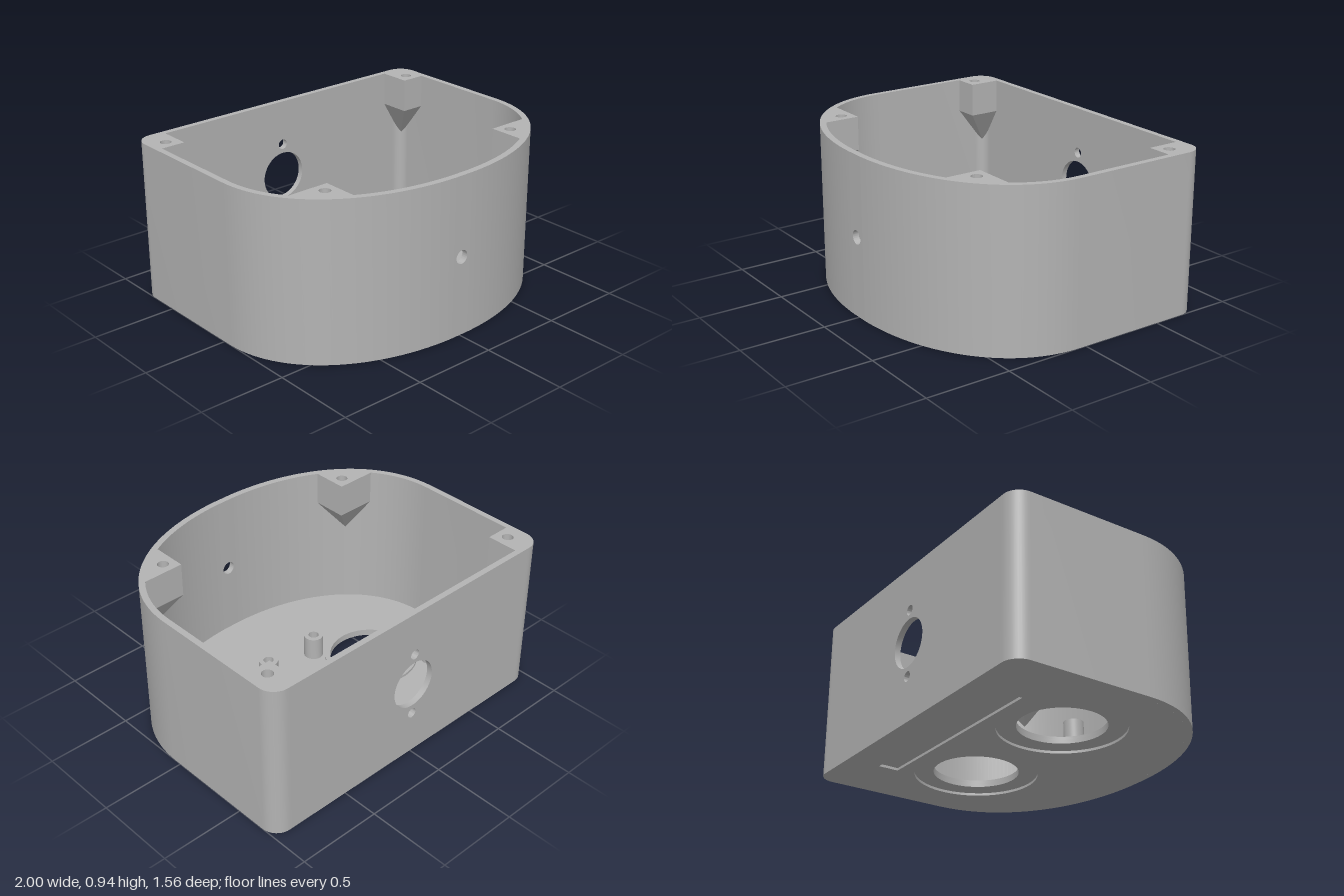
import * as THREE from 'three';
import { toCreasedNormals } from 'three/addons/utils/BufferGeometryUtils.js';

const H = 0.94, FLOOR = 0.04, RECESS = 0.015, HOLE_X = 0.415, HOLE_Z = -0.065;
const POWER = 2.13, CUT = 0.06, BACK_CUT = 0.88;
const OUTER = { a: 1, b: 0.742, r: 0.1, back: -0.782 };
const INNER = { a: 0.965, b: 0.705, r: 0.065, back: -0.747 };

// Depth of the bowed front at a given x
const frontZ = (o, x) => 0.04 + o.b * Math.pow(1 - Math.pow(Math.abs(x) / o.a, POWER), 1 / POWER);

// Half outline (+x) from the back edge, round the corner, to the bowed front at xEnd
function halfOutline(o, xStart, xEnd) {
  const pts = [[xStart, o.back]];
  for (let i = 0; i <= 10; i++) {
    const t = -Math.PI / 2 + (i / 10) * Math.PI / 2;
    pts.push([o.a - o.r + o.r * Math.cos(t), o.back + o.r + o.r * Math.sin(t)]);
  }
  const tEnd = Math.acos(Math.pow(xEnd / o.a, POWER / 2));
  for (let i = 0; i <= 48; i++) {
    const t = (i / 48) * tEnd;
    const x = i === 48 ? xEnd : o.a * Math.pow(Math.cos(t), 2 / POWER);
    pts.push([x, 0.04 + o.b * Math.pow(Math.sin(t), 2 / POWER)]);
  }
  return pts;
}

const mirror = (pts) => pts.map(([x, z]) => [-x, z]);
const circle = (x, y, r) => new THREE.Path().absarc(x, y, r, 0, Math.PI * 2, false);
const shapeOf = (pts) => new THREE.Shape(pts.map(([x, y]) => new THREE.Vector2(x, y)));

// Horizontal slab from x/z points between two heights; holes are [x, z, radius]
function slab(pts, y0, y1, holes = [], paths = []) {
  const shape = shapeOf(pts.map(([x, z]) => [x, -z]));
  holes.forEach(([x, z, r]) => shape.holes.push(circle(x, -z, r)));
  shape.holes.push(...paths);
  const g = new THREE.ExtrudeGeometry(shape, { depth: y1 - y0, bevelEnabled: false, curveSegments: 32 });
  g.rotateX(-Math.PI / 2).translate(0, y0, 0);
  return toCreasedNormals(g, 0.5);
}

// Upright panel facing z, between two depths
function panel(x, z0, z1, holes) {
  const shape = shapeOf([[-x, 0], [x, 0], [x, H], [-x, H]]);
  holes.forEach(([y, r]) => shape.holes.push(circle(0, y, r)));
  const g = new THREE.ExtrudeGeometry(shape, { depth: z1 - z0, bevelEnabled: false, curveSegments: 24 });
  return toCreasedNormals(g.translate(0, 0, z0), 0.5);
}

// Cone of flat faces from a level polygon down to one apex
function taper(pts, y, apex) {
  const pos = [];
  const area = pts.reduce((s, [x, z], i) => {
    const [u, v] = pts[(i + 1) % pts.length];
    return s + x * v - u * z;
  }, 0);
  const ring = area > 0 ? pts : [...pts].reverse();
  const [cx, cz] = ring.reduce((s, p) => [s[0] + p[0] / ring.length, s[1] + p[1] / ring.length], [0, 0]);
  ring.forEach(([x, z], i) => {
    const [u, v] = ring[(i + 1) % ring.length];
    pos.push(x, y, z, u, y, v, ...apex);
    pos.push(u, y, v, x, y, z, cx, y, cz);
  });
  const g = new THREE.BufferGeometry();
  g.setAttribute('position', new THREE.Float32BufferAttribute(pos, 3));
  g.computeVertexNormals();
  return g;
}

export function createModel() {
  const model = new THREE.Group();
  model.name = 'enclosure';
  const grey = new THREE.MeshStandardMaterial({ color: 0xb3b3b3 });
  grey.name = 'grey plastic';
  const add = (name, geometry) => {
    const m = new THREE.Mesh(geometry, grey);
    m.name = name;
    model.add(m);
  };

  // Floor: lower layer holds the shallow recesses, upper layer the round openings
  const half = halfOutline(INNER, BACK_CUT, 0);
  const full = [...half, ...mirror(half).reverse().slice(1)];
  const slot = new THREE.Path([[-0.62, 0.466], [0.62, 0.466], [0.62, 0.586], [-0.62, 0.586]]
    .map(([x, y]) => new THREE.Vector2(x, y)));
  const eyes = (r) => [-1, 1].map((s) => [s * HOLE_X, HOLE_Z, r]);
  add('floorUnderside', slab(full, 0, RECESS, eyes(0.354), [slot]));
  add('floor', slab(full, RECESS, FLOOR, eyes(0.245)));

  // Back wall with a round opening and two screw holes
  add('backWall', panel(BACK_CUT, OUTER.back, INNER.back, [[0.47, 0.145], [0.27, 0.03], [0.67, 0.03]]));

  // Front wall centre with its small hole, bent to the curve
  const front = panel(CUT, 0, 1, [[0.47, 0.04]]);
  const p = front.attributes.position;
  for (let i = 0; i < p.count; i++) p.setZ(i, frontZ(p.getZ(i) > 0.5 ? OUTER : INNER, p.getX(i)));
  add('frontWall', front);

  // Raised cable strip on the floor
  add('cableStrip', slab([[-0.105, -0.748], [0.105, -0.748], [0.105, -0.1], [-0.105, -0.1]], FLOOR, 0.05));

  // Side wall, corner bosses, opening rim and posts, mirrored
  const wall = [...halfOutline(OUTER, BACK_CUT, CUT), ...halfOutline(INNER, BACK_CUT, CUT).reverse()];
  const backBoss = [[0.82, -0.75], [0.82, -0.56], [0.967, -0.56], [0.967, -0.75]];
  const frontBoss = [[0.605, 0.4]];
  for (let i = 0; i <= 8; i++) {
    const x = 0.605 + (i / 8) * 0.245;
    frontBoss.push([x, Math.max(0.4, frontZ(INNER, x) + 0.003)]);
  }
  frontBoss.push([0.857, 0.4]);
  const rim = [];
  for (let i = 0; i <= 48; i++) {
    const t = (Math.PI - 0.513) * (1 - i / 24);
    rim.push([HOLE_X + 0.275 * Math.cos(t), HOLE_Z + 0.275 * Math.sin(t)]);
  }
  rim.push([0.105, HOLE_Z - 0.135], [0.105, HOLE_Z + 0.135]);

  for (const s of [1, -1]) {
    const side = s > 0 ? 'left' : 'right';
    const flip = (pts) => (s > 0 ? pts : mirror(pts));
    add(side + 'Wall', slab(flip(wall), 0, H));
    add(side + 'OpeningRim', slab(flip(rim), FLOOR, 0.055, [[s * HOLE_X, HOLE_Z, 0.245]]));

    const bosses = [
      ['BackBoss', backBoss, [0.895, -0.63], [0.967, 0.495, -0.75]],
      ['FrontBoss', frontBoss, [0.675, 0.47], [0.75, 0.55, frontZ(INNER, 0.75) + 0.003]],
    ];
    for (const [name, pts, [hx, hz], [ax, ay, az]] of bosses) {
      add(side + name, slab(flip(pts), H - 0.2, H, [[s * hx, hz, 0.032]]));
      add(side + name + 'Taper', taper(flip(pts), H - 0.2, [s * ax, ay, az]));
    }

    // Hollow screw posts
    for (const [x, z] of [[0.657, -0.325], [0.18, 0.19]]) {
      const ring = [];
      for (let i = 0; i < 32; i++) {
        const t = (i / 32) * Math.PI * 2;
        ring.push([s * x + 0.057 * Math.cos(t), z + 0.057 * Math.sin(t)]);
      }
      add(side + 'ScrewPost', slab(ring, FLOOR, 0.18, [[s * x, z, 0.03]]));
    }
  }
  return model;
}
